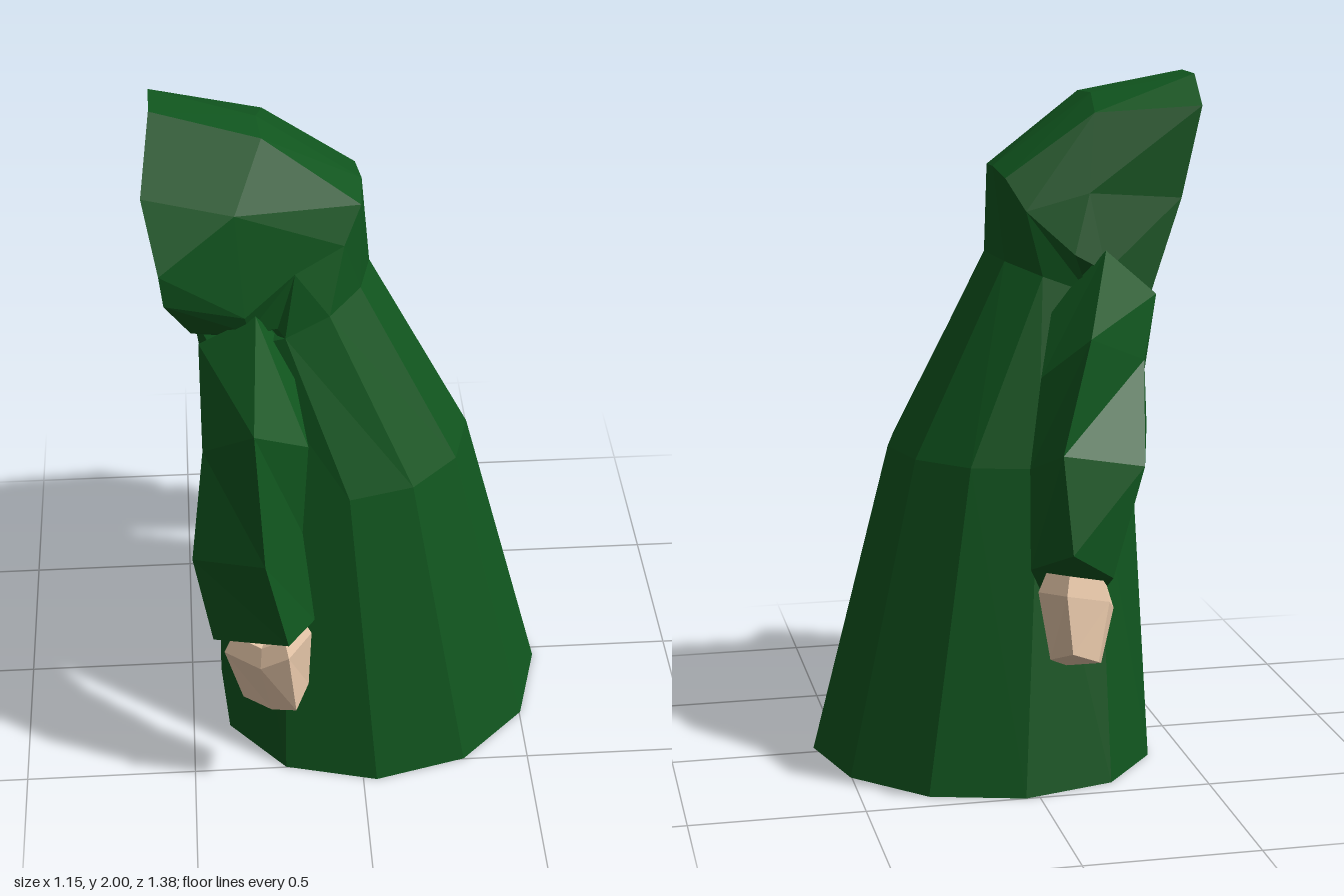
import * as THREE from 'three';

const material = (color) => new THREE.MeshStandardMaterial({ color, flatShading: true, side: THREE.DoubleSide });

// Faceted skin over a row of closed rings, with optional fan caps at the ends
function loft(rings, capStart = true, capEnd = true) {
  const pos = [];
  const n = rings[0].length;
  const tri = (a, b, c) => pos.push(...a, ...b, ...c);
  const centre = (ring) => [0, 1, 2].map((k) => ring.reduce((s, p) => s + p[k], 0) / n);
  for (let r = 0; r < rings.length - 1; r++) {
    for (let i = 0; i < n; i++) {
      const j = (i + 1) % n;
      const [a, b, c, d] = [rings[r][i], rings[r][j], rings[r + 1][j], rings[r + 1][i]];
      tri(a, b, c);
      tri(a, c, d);
    }
  }
  const first = rings[0], last = rings[rings.length - 1];
  for (let i = 0; i < n; i++) {
    const j = (i + 1) % n;
    if (capStart) tri(centre(first), first[j], first[i]);
    if (capEnd) tri(centre(last), last[i], last[j]);
  }
  // Turn the skin outwards if its enclosed volume is negative
  const o = new THREE.Vector3(...centre(rings[rings.length >> 1]));
  const v = (k) => new THREE.Vector3().fromArray(pos, k).sub(o);
  let volume = 0;
  for (let k = 0; k < pos.length; k += 9) volume += v(k).dot(v(k + 3).cross(v(k + 6)));
  if (volume < 0) {
    for (let k = 0; k < pos.length; k += 9) {
      for (let m = 0; m < 3; m++) [pos[k + 3 + m], pos[k + 6 + m]] = [pos[k + 6 + m], pos[k + 3 + m]];
    }
  }
  const g = new THREE.BufferGeometry();
  g.setAttribute('position', new THREE.Float32BufferAttribute(pos, 3));
  g.computeVertexNormals();
  return g;
}

// Shrinks a ring towards its own middle and shifts it
function shrink(ring, s, dx = 0, dy = 0) {
  const c = [0, 1, 2].map((k) => ring.reduce((t, p) => t + p[k], 0) / ring.length);
  return ring.map((p) => [c[0] + (p[0] - c[0]) * s + dx, c[1] + (p[1] - c[1]) * s + dy, c[2] + (p[2] - c[2]) * s]);
}

export function createModel() {
  const group = new THREE.Group();
  const cloth = material(0x10551e);
  const skin = material(0xe8c8aa);
  const dark = material(0x020202);
  const add = (name, geometry, mat) => {
    const mesh = new THREE.Mesh(geometry, mat);
    mesh.name = name;
    group.add(mesh);
  };

  // Robe: twelve sides, flattened front, top ring tilted down to the front
  const robeRing = (y, cx, rx, rz, frontX, tilt) => Array.from({ length: 12 }, (_, i) => {
    const a = (i / 12) * Math.PI * 2;
    const limit = i === 6 ? frontX : frontX + 0.02;
    return [Math.max(cx + rx * Math.cos(a), limit), y + tilt * Math.cos(a), 0.035 + rz * Math.sin(a)];
  });
  add('robe', loft([
    robeRing(0, 0.04, 0.535, 0.535, -0.41, 0),
    robeRing(0.92, -0.03, 0.37, 0.37, -0.4, 0),
    robeRing(1.4, -0.2, 0.25, 0.255, -0.45, 0.09),
  ]), cloth);

  // Hood: neck (on the robe's top edge), nape, crown and rim rings, from the -z side over the top
  const neck = [
    [-0.2, 1.4, -0.22], [-0.075, 1.445, -0.186], [0.017, 1.478, -0.093], [0.05, 1.49, 0.035], [0.017, 1.478, 0.163],
    [-0.075, 1.445, 0.256], [-0.2, 1.4, 0.29], [-0.22, 1.38, 0.26], [-0.25, 1.36, 0.15], [-0.25, 1.36, 0],
  ];
  const nape = [
    [-0.16, 1.51, -0.225], [-0.03, 1.63, -0.17], [0.02, 1.72, -0.12], [0.03, 1.74, 0.01], [0.02, 1.73, 0.14],
    [-0.03, 1.63, 0.19], [-0.17, 1.59, 0.265], [-0.22, 1.42, 0.27], [-0.26, 1.36, 0.15], [-0.26, 1.36, 0],
  ];
  const crown = [
    [-0.25, 1.46, -0.23], [-0.21, 1.68, -0.19], [-0.24, 1.9, -0.12], [-0.26, 1.945, 0.01], [-0.25, 1.94, 0.13],
    [-0.33, 1.77, 0.25], [-0.31, 1.47, 0.29], [-0.3, 1.41, 0.27], [-0.32, 1.34, 0.18], [-0.32, 1.32, 0],
  ];
  const rim = [
    [-0.38, 1.38, -0.22], [-0.48, 1.66, -0.19], [-0.54, 1.92, -0.18], [-0.55, 2, -0.06], [-0.55, 2, 0.07],
    [-0.58, 1.81, 0.21], [-0.54, 1.63, 0.32], [-0.53, 1.53, 0.31], [-0.46, 1.37, 0.2], [-0.44, 1.33, 0.02],
  ];
  const innerRim = shrink(rim, 0.82, 0.01);
  add('hood', loft([neck, nape, crown, rim, innerRim], false, false), cloth);
  add('hoodInterior', loft([innerRim, shrink(rim, 0.66, 0.22, -0.02), shrink(rim, 0.3, 0.36, -0.06)], false, true), dark);

  // Sleeves: five-sided rings from shoulder to cuff (outer, back, two inner, front corners)
  add('sleeveNear', loft([
    [[-0.28, 1.47, 0.28], [-0.19, 1.33, 0.22], [-0.2, 1.1, 0.18], [-0.4, 1.1, 0.18], [-0.44, 1.36, 0.24]],
    [[-0.3, 1.29, 0.6], [-0.15, 1.18, 0.5], [-0.2, 0.98, 0.35], [-0.4, 1, 0.34], [-0.44, 1.15, 0.46]],
    [[-0.28, 0.9, 0.67], [-0.17, 0.9, 0.52], [-0.22, 0.82, 0.42], [-0.4, 0.82, 0.42], [-0.48, 0.83, 0.53]],
    [[-0.22, 0.63, 0.685], [-0.14, 0.61, 0.55], [-0.2, 0.58, 0.5], [-0.36, 0.56, 0.5], [-0.43, 0.57, 0.57]],
  ]), cloth);
  add('sleeveFar', loft([
    [[-0.25, 1.52, -0.225], [-0.1, 1.36, -0.2], [-0.14, 1.1, -0.15], [-0.38, 1.1, -0.15], [-0.4, 1.39, -0.22]],
    [[-0.14, 1.32, -0.5], [-0.02, 1.2, -0.41], [-0.08, 0.95, -0.33], [-0.36, 1.02, -0.28], [-0.34, 1.22, -0.32]],
    [[-0.03, 1.03, -0.64], [0.02, 0.95, -0.45], [-0.06, 0.88, -0.36], [-0.32, 0.88, -0.36], [-0.28, 0.97, -0.56]],
    [[-0.05, 0.76, -0.68], [0.04, 0.69, -0.55], [-0.01, 0.6, -0.45], [-0.2, 0.6, -0.46], [-0.18, 0.67, -0.61]],
  ]), cloth);

  // Hands: wrist, knuckles and fingertips
  const hand = (name, knuckles, tips) => add(name, loft([shrink(knuckles, 0.8, 0, 0.06), knuckles, tips]), skin);
  hand('handNear',
    [[-0.4, 0.53, 0.58], [-0.3, 0.52, 0.65], [-0.22, 0.57, 0.67], [-0.15, 0.57, 0.56], [-0.22, 0.53, 0.5], [-0.36, 0.5, 0.51]],
    [[-0.35, 0.36, 0.58], [-0.27, 0.34, 0.62], [-0.2, 0.35, 0.64], [-0.16, 0.38, 0.56], [-0.2, 0.36, 0.53], [-0.33, 0.36, 0.53]]);
  hand('handFar',
    [[-0.03, 0.65, -0.69], [0.03, 0.64, -0.6], [-0.06, 0.57, -0.48], [-0.21, 0.55, -0.5], [-0.18, 0.59, -0.57]],
    [[-0.05, 0.48, -0.68], [0, 0.45, -0.62], [-0.06, 0.41, -0.56], [-0.16, 0.41, -0.56], [-0.14, 0.43, -0.61]]);

  return group;
}
